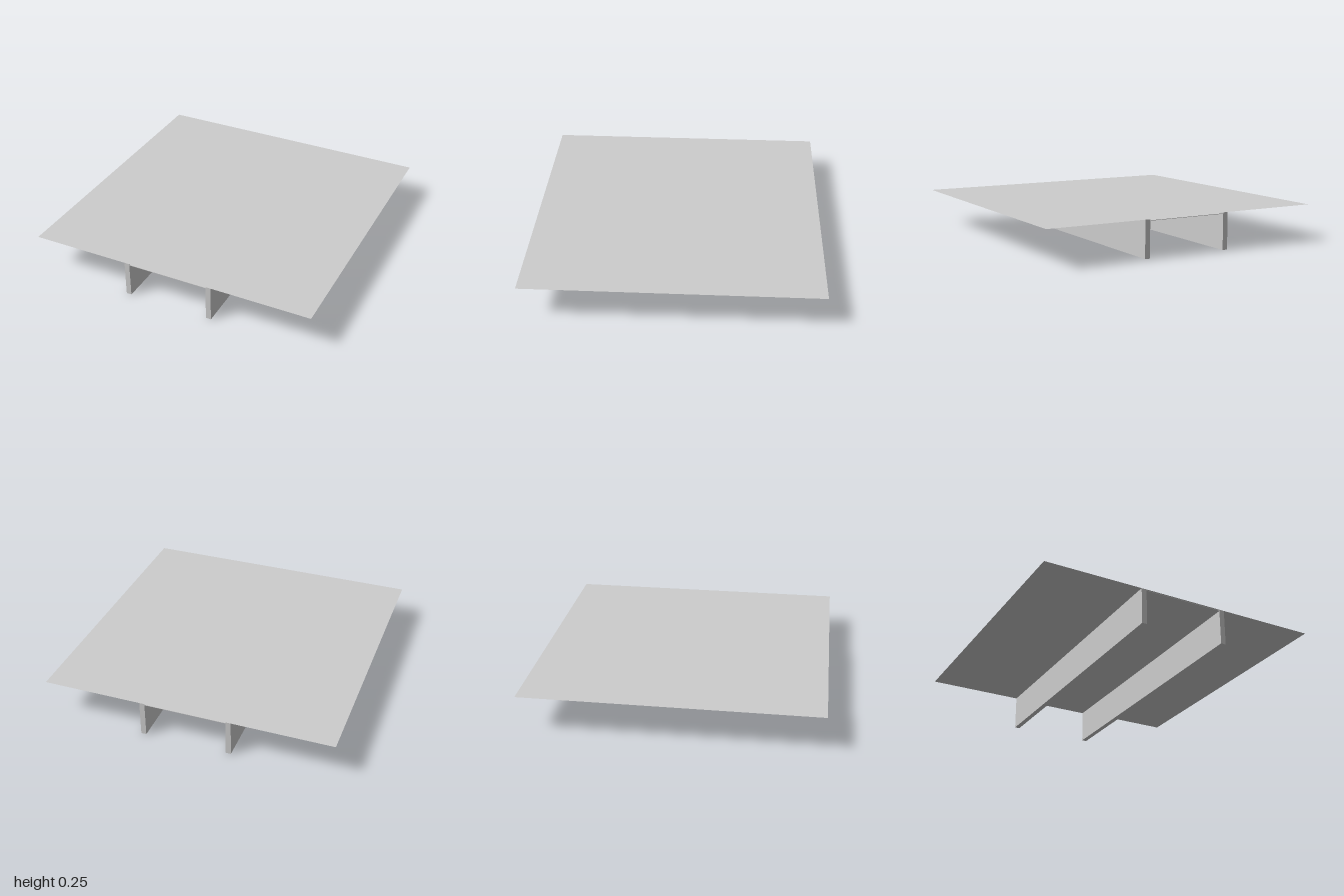
import * as THREE from 'three';

export function createModel() {
  const model = new THREE.Group();
  const grey = new THREE.MeshStandardMaterial({ color: 0xcccccc, side: THREE.DoubleSide });
  grey.name = 'light grey';

  const add = (name, geometry, x, y) => {
    const mesh = new THREE.Mesh(geometry, grey);
    mesh.name = name;
    mesh.position.set(x, y, 0);
    model.add(mesh);
  };

  // Square sheet lying on the rails
  add('topSheet', new THREE.PlaneGeometry(2, 2).rotateX(-Math.PI / 2), 0, 0.25);

  // Thin plate between the rails, just below the sheet
  add('innerPlate', new THREE.BoxGeometry(0.56, 0.003, 2), 0, 0.242);

  // Two upright rails running front to back
  const rail = new THREE.BoxGeometry(0.036, 0.25, 2);
  add('leftRail', rail, 0.298, 0.125);
  add('rightRail', rail, -0.298, 0.125);

  return model;
}
